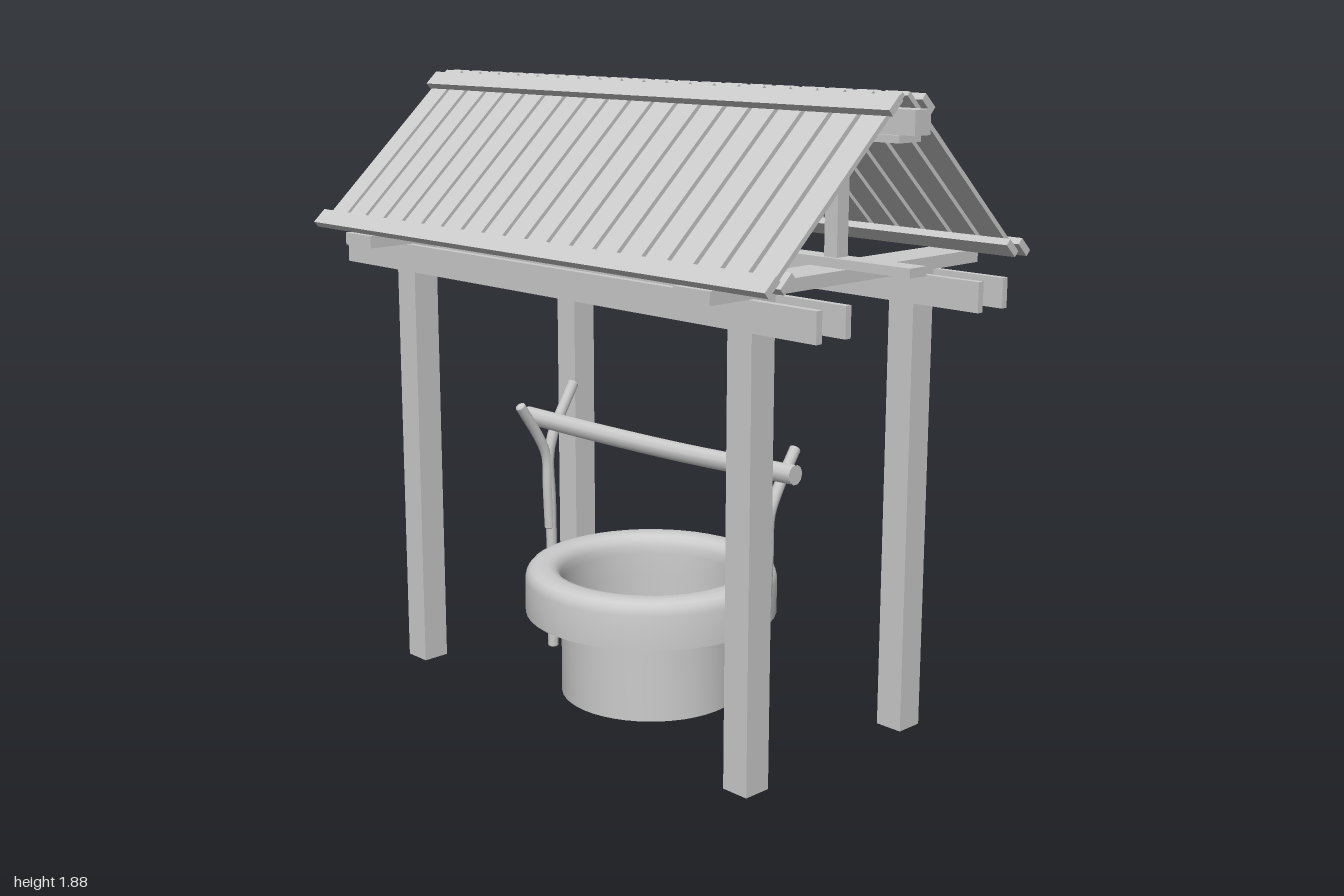
import * as THREE from 'three';
import { toCreasedNormals } from 'three/addons/utils/BufferGeometryUtils.js';

const material = new THREE.MeshStandardMaterial({ color: 0xcccccc });
const openMaterial = new THREE.MeshStandardMaterial({ color: 0xcccccc, side: THREE.DoubleSide });

function add(parent, name, geometry, x = 0, y = 0, z = 0, mat = material) {
  const mesh = new THREE.Mesh(geometry, mat);
  mesh.name = name;
  mesh.position.set(x, y, z);
  parent.add(mesh);
  return mesh;
}

const box = (w, h, d) => new THREE.BoxGeometry(w, h, d);

// Round branch through a few points, with rounded or sawn-off ends
function branch(parent, name, points, radius, rounded) {
  const curve = new THREE.CatmullRomCurve3(points.map((p) => new THREE.Vector3(...p)));
  const group = new THREE.Group();
  group.name = name;
  parent.add(group);
  add(group, name + 'Bark', new THREE.TubeGeometry(curve, 20, radius, 10));
  for (const t of [0, 1]) {
    const p = curve.getPoint(t);
    const dir = curve.getTangent(t).multiplyScalar(t ? 1 : -1);
    const cap = rounded
      ? new THREE.SphereGeometry(radius, 10, 8).scale(1, 1, 0.5)
      : new THREE.CircleGeometry(radius, 10);
    add(group, name + 'End', cap.lookAt(dir), p.x, p.y, p.z);
  }
}

// Stone ring with an overhanging rounded rim, open through the middle
function buildWell(parent) {
  const profile = [
    [0.28, 0], [0.28, 0.265], [0.39, 0.265], [0.39, 0.37], [0.385, 0.39], [0.374, 0.403],
    [0.355, 0.41], [0.32, 0.41], [0.302, 0.405], [0.289, 0.393], [0.282, 0.375], [0.28, 0.35], [0.28, 0.265],
  ].map(([r, y]) => new THREE.Vector2(r, y));
  const ring = toCreasedNormals(new THREE.LatheGeometry(profile, 48), 0.8);
  add(parent, 'wellRing', ring, 0, 0, 0, openMaterial);
}

// Two forked sticks carrying a log
function buildWindlass(parent) {
  for (const side of [1, -1]) {
    const fork = new THREE.Group();
    fork.name = side > 0 ? 'leftFork' : 'rightFork';
    fork.position.x = side * 0.485;
    fork.rotation.y = side > 0 ? 0 : Math.PI;
    parent.add(fork);
    branch(fork, 'longBranch', [
      [0, 0.01, 0.012], [0, 0.3, 0.01], [0, 0.52, 0.008], [0, 0.66, 0.002], [0, 0.74, 0.025], [0, 0.885, 0.11],
    ], 0.018, true);
    branch(fork, 'shortBranch', [
      [0, 0.42, 0.002], [0, 0.55, -0.004], [0, 0.66, -0.008], [0, 0.73, -0.04], [0, 0.84, -0.113],
    ], 0.017, true);
  }
  branch(parent, 'crossLog', [
    [-0.57, 0.783, 0.01], [-0.2, 0.783, 0.01], [0.15, 0.785, 0], [0.57, 0.795, -0.022],
  ], 0.03, false);
}

// Posts, doubled long beams, cross beams and the ridge support
function buildFrame(parent) {
  for (const x of [-0.72, 0.72]) {
    for (const z of [-0.33, 0.33]) {
      const post = new THREE.CylinderGeometry(0.0615, 0.0615, 1.375, 4, 1, true);
      post.rotateY(Math.PI / 4);
      add(parent, 'post', toCreasedNormals(post, 0.5), x, 0.6875, z, openMaterial);
    }
    add(parent, 'crossBeam', box(0.13, 0.037, 1.1), x, 1.393, 0);
    add(parent, 'kingPost', box(0.045, 0.33, 0.045), x, 1.6, 0);
  }
  for (const z of [-0.385, -0.275, 0.275, 0.385]) {
    add(parent, 'longBeam', box(2, 0.085, 0.021), 0, 1.328, z);
  }
  add(parent, 'solePlate', box(2, 0.026, 0.068), 0, 1.425, 0);
  add(parent, 'ridgePlate', box(1.92, 0.02, 0.088), 0, 1.766, 0);
  add(parent, 'ridgeBeam', box(2, 0.066, 0.064), 0, 1.809, 0);
}

// One roof slope of slats and battens; local z runs down the slope
function buildRoof(parent) {
  const angle = Math.atan2(0.44, 0.48);
  for (const side of [1, -1]) {
    const slope = new THREE.Group();
    slope.name = side > 0 ? 'frontRoof' : 'backRoof';
    slope.rotation.y = side > 0 ? 0 : Math.PI;
    parent.add(slope);
    const plane = new THREE.Group();
    plane.name = 'roofPlane';
    plane.position.set(0, 1.66, 0.25);
    plane.rotation.x = angle;
    slope.add(plane);
    for (let i = 0; i < 20; i++) {
      add(plane, 'slat', box(0.08, 0.014, 0.65), side * (-0.917 + i * 0.0958), 0, 0);
    }
    add(plane, 'topBatten', box(1.93, 0.022, 0.055), 0, 0.018, -0.266);
    add(plane, 'eaveBatten', box(1.93, 0.022, 0.055), 0, 0.018, 0.348);
    add(plane, 'underBatten', box(1.93, 0.022, 0.055), 0, -0.018, 0.305);
  }
}

export function createModel() {
  const model = new THREE.Group();
  model.name = 'coveredWell';
  buildWell(model);
  buildWindlass(model);
  buildFrame(model);
  buildRoof(model);
  return model;
}
